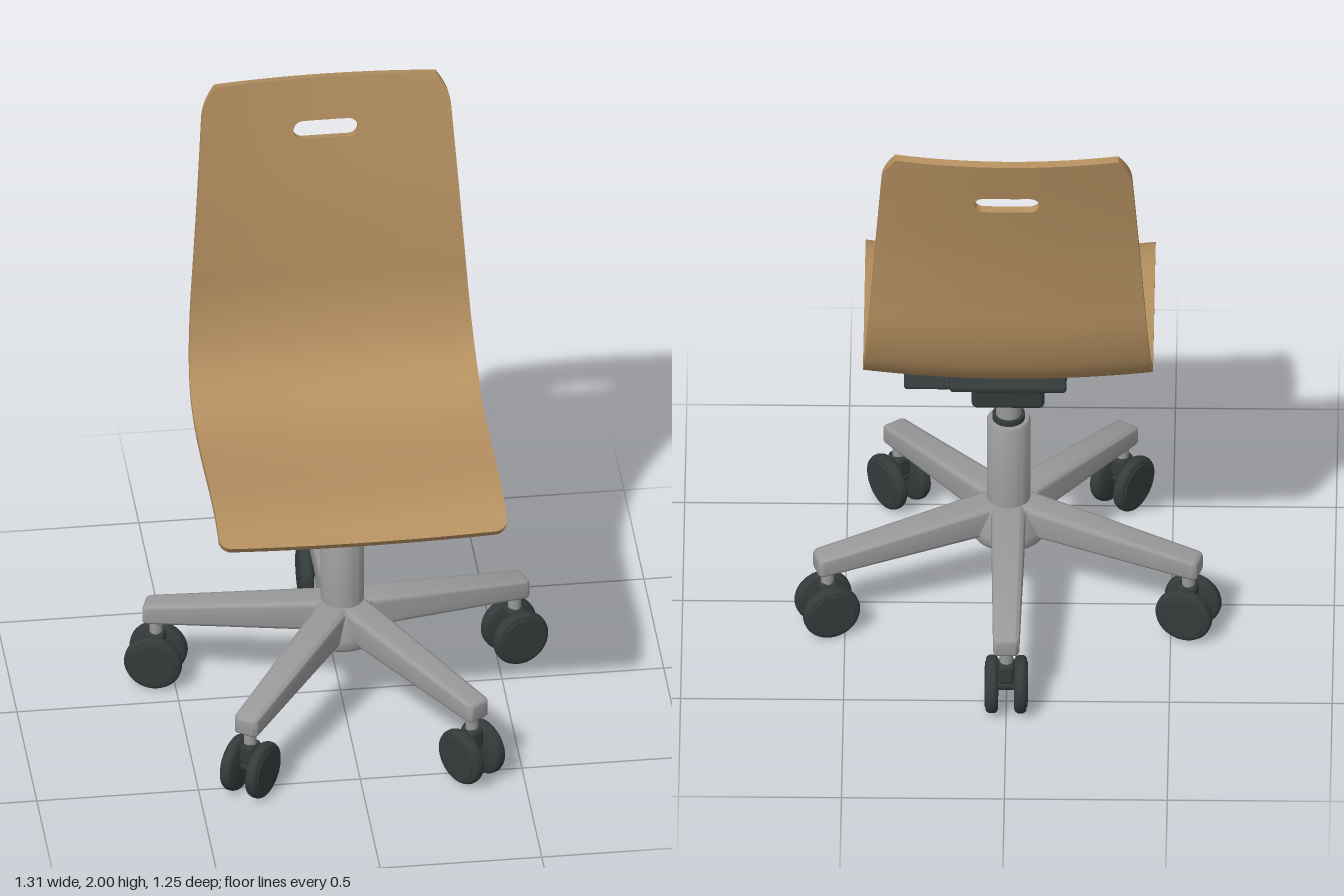
import * as THREE from 'three';
import { toCreasedNormals } from 'three/addons/utils/BufferGeometryUtils.js';
import { RoundedBoxGeometry } from 'three/addons/geometries/RoundedBoxGeometry.js';

const material = (name, color) => {
  const m = new THREE.MeshStandardMaterial({ color });
  m.name = name;
  return m;
};
const wood = material('wood', 0xb48f60);
const grey = material('grey metal', 0x999999);
const dark = material('dark plastic', 0x343b3b);

const CENTRE_Z = 0.05; // axis of the column
const crease = (g) => toCreasedNormals(g, 0.7);

function add(parent, name, geometry, mat, x = 0, y = 0, z = 0) {
  const mesh = new THREE.Mesh(geometry, mat);
  mesh.name = name;
  mesh.position.set(x, y, z);
  parent.add(mesh);
  return mesh;
}

// Turned part from [radius, height] pairs listed bottom to top
const lathe = (pairs, sides = 40) =>
  crease(new THREE.LatheGeometry(pairs.map(([r, y]) => new THREE.Vector2(r, y)), sides));

// Bent plywood seat and back in one sheet, with a grip slot
function shellGeometry() {
  const profile = new THREE.CatmullRomCurve3([ // [z, y] along the side edge
    [0.597, 0.943], [0.56, 0.968], [0.5, 0.988], [0.4, 0.998], [0.3, 0.995], [0.2, 0.988],
    [0.1, 0.984], [0, 0.987], [-0.08, 1.002], [-0.16, 1.045], [-0.215, 1.105], [-0.25, 1.19],
    [-0.27, 1.28], [-0.28, 1.4], [-0.3, 1.6], [-0.33, 1.8], [-0.365, 2],
  ].map(([z, y]) => new THREE.Vector3(0, y, z)));
  profile.arcLengthDivisions = 1000;
  const length = profile.getLength();
  const thickness = 0.026, slotY = 1.83, slotR = 0.03, slotX = 0.07;

  const tAt = (y) => { // position on the back at a given height
    let lo = 0.5, hi = 1;
    for (let k = 0; k < 40; k++) {
      const mid = (lo + hi) / 2;
      if (profile.getPointAt(mid).y < y) lo = mid; else hi = mid;
    }
    return (lo + hi) / 2;
  };

  const rows = [];
  const span = (from, to, n) => {
    for (let k = 0; k < n; k++) rows.push(from + (to - from) * k / n);
  };
  const corner = 0.035 / length;
  for (let k = 0; k < 6; k++) rows.push(corner * (1 - Math.cos(k / 6 * Math.PI / 2)));
  span(corner, tAt(slotY - slotR), 56);
  const slotStart = rows.length, slotRows = 12;
  for (let k = 0; k < slotRows; k++) rows.push(tAt(slotY - slotR * Math.cos(k / slotRows * Math.PI)));
  span(tAt(slotY + slotR), tAt(1.9), 3);
  span(tAt(1.9), 1, 8);
  rows.push(1);

  const SIDE = 10, MID = 6, COLS = 2 * SIDE + MID;
  const front = [], back = [];
  rows.forEach((t, i) => {
    const p = profile.getPointAt(t), tan = profile.getTangentAt(t);
    const n = new THREE.Vector3(0, -tan.z, tan.y);
    const rise = THREE.MathUtils.clamp((p.y - 1.03) / 0.97, 0, 1);
    const full = 0.445 - 0.067 * rise;
    const s = Math.min(t * length, 0.035);
    const w = full - (0.035 - Math.sqrt(0.035 ** 2 - (0.035 - s) ** 2))
      - 0.036 * Math.max(0, (p.y - 1.9) / 0.1) ** 2;
    const inSlot = i >= slotStart && i <= slotStart + slotRows;
    const h = slotX + (inSlot
      ? slotR * Math.sin((i - slotStart) / slotRows * Math.PI) : 0);
    const f = [], b = [];
    for (let j = 0; j <= COLS; j++) {
      let x;
      if (j < SIDE) x = -w + (w - h) * j / SIDE;
      else if (j <= SIDE + MID) x = -h + 2 * h * (j - SIDE) / MID;
      else x = h + (w - h) * (j - SIDE - MID) / SIDE;
      const sag = (0.024 + 0.009 * rise) * (1 - (x / full) ** 2);
      f.push(new THREE.Vector3(x, p.y, p.z).addScaledVector(n, -sag));
      b.push(f[j].clone().addScaledVector(n, -thickness));
    }
    front.push(f);
    back.push(b);
  });

  const filled = (i, j) => i >= 0 && j >= 0 && i < rows.length - 1 && j < COLS
    && !(i >= slotStart && i < slotStart + slotRows && j >= SIDE && j < SIDE + MID);
  const out = [];
  const quad = (a, b, c, d) => [a, b, c, a, c, d].forEach((v) => out.push(v.x, v.y, v.z));
  for (let i = 0; i < rows.length - 1; i++) {
    for (let j = 0; j < COLS; j++) {
      if (!filled(i, j)) continue;
      const ring = [[i, j], [i, j + 1], [i + 1, j + 1], [i + 1, j]];
      const next = [[i - 1, j], [i, j + 1], [i + 1, j], [i, j - 1]];
      const f = ring.map(([r, c]) => front[r][c]), b = ring.map(([r, c]) => back[r][c]);
      quad(...f);
      quad(b[3], b[2], b[1], b[0]);
      next.forEach(([r, c], k) => { // edge wall wherever the sheet ends
        const m = (k + 1) % 4;
        if (!filled(r, c)) quad(b[k], b[m], f[m], f[k]);
      });
    }
  }
  const g = new THREE.BufferGeometry();
  g.setAttribute('position', new THREE.Float32BufferAttribute(out, 3));
  return crease(g);
}

// Tapered, sloping leg that runs from the hub towards -z
function legGeometry() {
  const L = 0.59;
  const g = new RoundedBoxGeometry(0.1, 0.1, L, 3, 0.018);
  const p = g.attributes.position;
  for (let i = 0; i < p.count; i++) {
    const k = 0.5 - p.getZ(i) / L; // 0 at hub, 1 at tip
    const v = p.getY(i) / 0.1 + 0.5;
    const bottom = THREE.MathUtils.lerp(0.275, 0.218, k);
    const top = THREE.MathUtils.lerp(0.382, 0.284, k);
    p.setXYZ(i, p.getX(i) * THREE.MathUtils.lerp(1.08, 0.8, k),
      THREE.MathUtils.lerp(bottom, top, v), -0.03 - k * L);
  }
  return crease(g);
}

export function createModel() {
  const chair = new THREE.Group();
  chair.name = 'swivelChair';
  add(chair, 'seatShell', shellGeometry(), wood);

  // Tilt mechanism under the seat
  const mechanism = new THREE.Group();
  mechanism.name = 'mechanism';
  chair.add(mechanism);
  add(mechanism, 'mountingPlate', new RoundedBoxGeometry(0.36, 0.03, 0.41, 3, 0.012), dark, 0, 0.923, 0.065);
  add(mechanism, 'mechanismHousing', new RoundedBoxGeometry(0.224, 0.09, 0.284, 3, 0.018), dark, 0, 0.872, 0.028);
  const bolt = new THREE.CylinderGeometry(0.013, 0.013, 0.014, 16);
  for (const x of [-0.145, 0.145]) {
    for (const z of [0.215, -0.085]) add(mechanism, 'bolt', bolt, grey, x, 0.902, z);
  }
  const rod = add(mechanism, 'leverRod', new THREE.CylinderGeometry(0.008, 0.008, 0.12, 14), grey, 0.15, 0.861, -0.01);
  rod.rotation.z = Math.PI / 2;
  add(mechanism, 'leverPaddle', new RoundedBoxGeometry(0.145, 0.022, 0.076, 4, 0.0105), dark, 0.248, 0.861, -0.01);

  // Gas column and five-legged base
  const base = new THREE.Group();
  base.name = 'base';
  base.position.z = CENTRE_Z;
  chair.add(base);
  add(base, 'hub', lathe([[0, 0.24], [0.1, 0.24], [0.112, 0.246], [0.12, 0.26], [0.12, 0.29], [0.09, 0.37], [0, 0.378]]), grey);
  add(base, 'columnFoot', new THREE.CylinderGeometry(0.038, 0.038, 0.03, 28), dark, 0, 0.23, 0);
  add(base, 'columnSleeve', lathe([[0.067, 0.3], [0.067, 0.669], [0.062, 0.676], [0, 0.676]]), grey);
  add(base, 'columnCollar', new THREE.CylinderGeometry(0.05, 0.05, 0.02, 36), dark, 0, 0.683, 0);
  add(base, 'piston', new THREE.CylinderGeometry(0.039, 0.039, 0.18, 36), grey, 0, 0.76, 0);

  const leg = legGeometry();
  const wheel = lathe([[0, -0.02], [0.078, -0.02], [0.086, -0.016], [0.09, -0.007], [0.09, 0.006],
    [0.086, 0.014], [0.079, 0.018], [0.071, 0.018], [0.069, 0.021], [0, 0.021]]);
  const stem = new THREE.CylinderGeometry(0.02, 0.02, 0.07, 20);
  const neck = new RoundedBoxGeometry(0.052, 0.075, 0.06, 3, 0.015);
  const axle = new THREE.CylinderGeometry(0.018, 0.018, 0.06, 16);
  for (let i = 0; i < 5; i++) {
    const arm = new THREE.Group();
    arm.name = 'legWithCaster';
    arm.rotation.y = i * Math.PI * 2 / 5;
    base.add(arm);
    add(arm, 'leg', leg, grey);
    const caster = new THREE.Group();
    caster.name = 'caster';
    caster.position.z = -0.583;
    arm.add(caster);
    add(caster, 'casterStem', stem, grey, 0, 0.2, 0);
    add(caster, 'casterNeck', neck, dark, 0, 0.142, 0);
    add(caster, 'casterAxle', axle, dark, 0, 0.09, 0).rotation.z = Math.PI / 2;
    for (const side of [-1, 1]) {
      add(caster, 'wheel', wheel, dark, side * 0.045, 0.09, 0).rotation.z = -side * Math.PI / 2;
    }
  }
  return chair;
}
